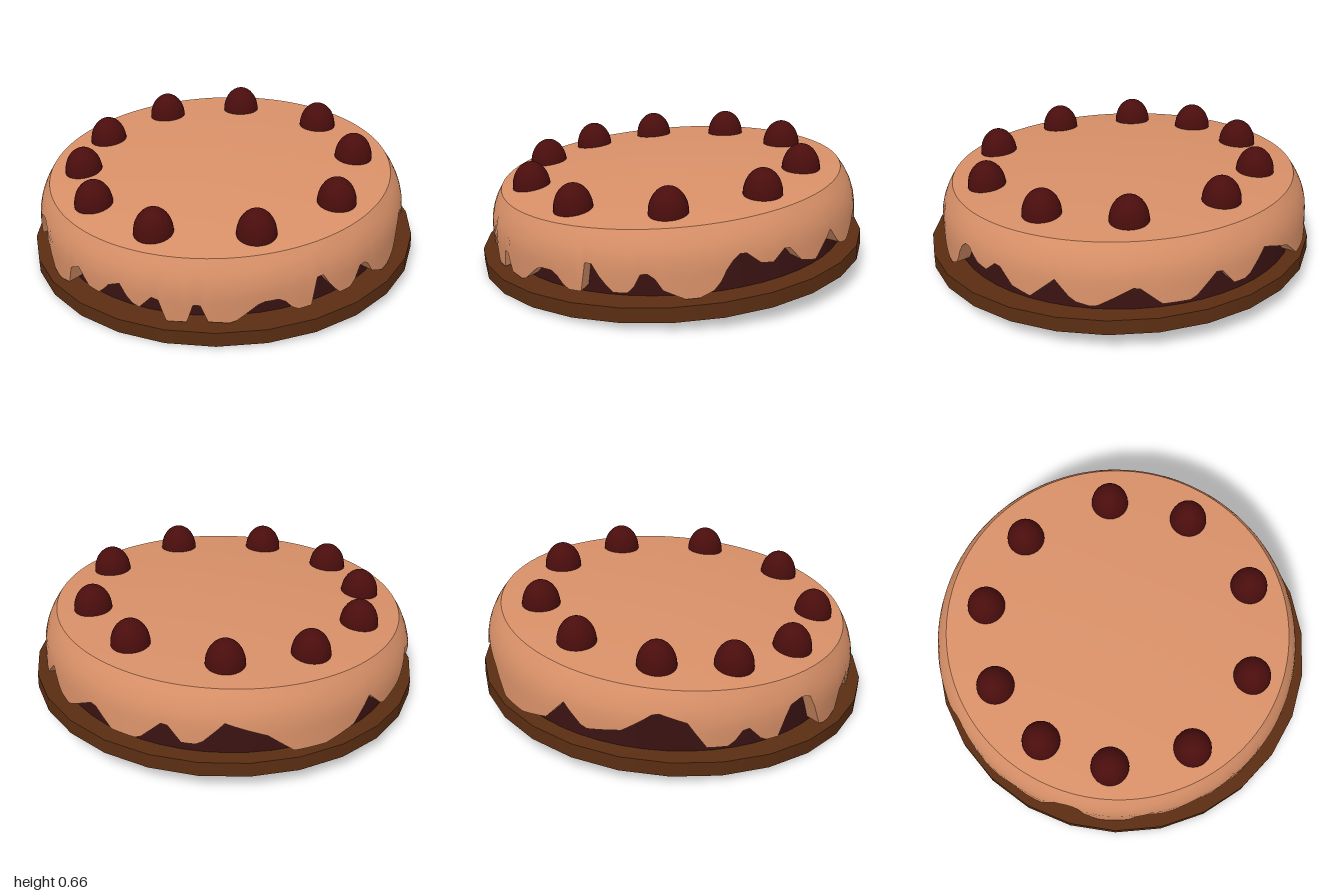
import * as THREE from 'three';
import { toCreasedNormals } from 'three/addons/utils/BufferGeometryUtils.js';

const TOP = 0.465, EDGE = 0.89, DOME = 0.05, CAKE_TILT = 0.073;

// lower edge of the icing: angle in degrees, height
const DRIPS = [
  [0, 0.14], [4, 0.14], [10, 0.19], [13, 0.275], [16, 0.27], [19, 0.18], [24, 0.18], [27, 0.23],
  [30, 0.315], [32, 0.315], [34, 0.17], [39, 0.17], [43, 0.25], [49, 0.25], [57, 0.15], [64, 0.16],
  [66, 0.25], [68, 0.25], [70, 0.155], [76, 0.15], [78, 0.26], [80, 0.27], [84, 0.2], [87, 0.22],
  [90, 0.305], [95, 0.27], [97, 0.21], [102, 0.22], [106, 0.3], [110, 0.265], [112, 0.165], [118, 0.14],
  [122, 0.16], [128, 0.35], [131, 0.37], [137, 0.345], [140, 0.2], [145, 0.2], [151, 0.3], [155, 0.2],
  [162, 0.2], [168, 0.33], [177, 0.37], [186, 0.26], [197, 0.22], [204, 0.32], [210, 0.2], [220, 0.15],
  [230, 0.15], [238, 0.25], [250, 0.32], [257, 0.2], [262, 0.2], [267, 0.3], [275, 0.17], [284, 0.17],
  [291, 0.27], [303, 0.165], [309, 0.19], [314, 0.29], [322, 0.18], [328, 0.21], [333, 0.31],
  [338, 0.245], [342, 0.26], [347, 0.335], [351, 0.29], [355, 0.175], [360, 0.14],
];

function dripHeight(deg) {
  const i = Math.max(1, DRIPS.findIndex(d => d[0] >= deg));
  const [a0, h0] = DRIPS[i - 1], [a1, h1] = DRIPS[i];
  return THREE.MathUtils.mapLinear(deg, a0, a1, h0, h1);
}

const domeHeight = r => TOP + DOME * (1 - (r / EDGE) ** 2);

// the icing wall bulges outwards, then hangs straight
const wallRadius = h => 0.955 - 0.065 * (Math.max(0, h - 0.28) / (TOP - 0.28)) ** 2;

// cross-section of the icing, from the middle of the top to the hidden inner edge
function icingSection(deg) {
  const low = dripHeight(deg);
  const section = [0, 0.25, 0.5, 0.72, EDGE].map(r => [r, domeHeight(r)]);
  for (let k = 1; k <= 6; k++) {
    const h = THREE.MathUtils.lerp(TOP, low, k / 6);
    section.push([wallRadius(h), h]);
  }
  section.push([0.87, low + 0.01]);
  return section;
}

function icingGeometry(columns = 180) {
  const positions = [], index = [];
  let rows = 0;
  for (let i = 0; i < columns; i++) {
    const a = (i / columns) * Math.PI * 2;
    const section = icingSection((i / columns) * 360);
    rows = section.length;
    for (const [r, h] of section) positions.push(r * Math.cos(a), h, r * Math.sin(a));
  }
  for (let i = 0; i < columns; i++) {
    const here = i * rows, next = ((i + 1) % columns) * rows;
    for (let j = 0; j < rows - 1; j++) {
      if (j > 0) index.push(here + j, next + j, here + j + 1);
      index.push(next + j, next + j + 1, here + j + 1);
    }
  }
  const geometry = new THREE.BufferGeometry();
  geometry.setAttribute('position', new THREE.Float32BufferAttribute(positions, 3));
  geometry.setIndex(index);
  return toCreasedNormals(geometry, 0.7);
}

function part(name, geometry, color, options = {}) {
  const mesh = new THREE.Mesh(geometry, new THREE.MeshStandardMaterial({ color, ...options }));
  mesh.name = name;
  return mesh;
}

export function createModel() {
  const model = new THREE.Group();
  model.name = 'cake';

  // plate, slightly tipped towards the front
  const plate = part('plate', new THREE.CylinderGeometry(1, 1, 0.075, 26), 0x5a2d12);
  plate.position.y = 0.0925;
  plate.rotation.x = 0.055;
  model.add(plate);

  // cake body and icing share one tilt
  const cake = new THREE.Group();
  cake.name = 'icedCake';
  cake.position.set(-0.02, 0, -0.028);
  cake.rotation.x = CAKE_TILT;
  model.add(cake);

  const sponge = part('sponge', new THREE.CylinderGeometry(0.885, 0.885, 0.34, 52), 0x3a1212);
  sponge.position.y = 0.27;
  cake.add(sponge);
  cake.add(part('icing', icingGeometry(), 0xd89068, { side: THREE.DoubleSide }));

  // ring of upright cherries, half sunk in the icing
  const cherries = new THREE.Group();
  cherries.name = 'cherries';
  const cherryShape = new THREE.SphereGeometry(0.097, 28, 20).scale(1, 1.3, 1);
  const spots = [
    [-0.25, -0.64], [0.24, -0.635], [0.575, -0.37], [0.695, 0.1], [0.485, 0.535],
    [0.04, 0.735], [-0.375, 0.64], [-0.63, 0.375], [-0.72, 0.02], [-0.59, -0.385],
  ];
  for (const [x, z] of spots) {
    const cherry = part('cherry', cherryShape, 0x4a0d0d);
    cherry.position.set(x, domeHeight(Math.hypot(x, z)) - CAKE_TILT * z, z);
    cherries.add(cherry);
  }
  model.add(cherries);

  return model;
}
